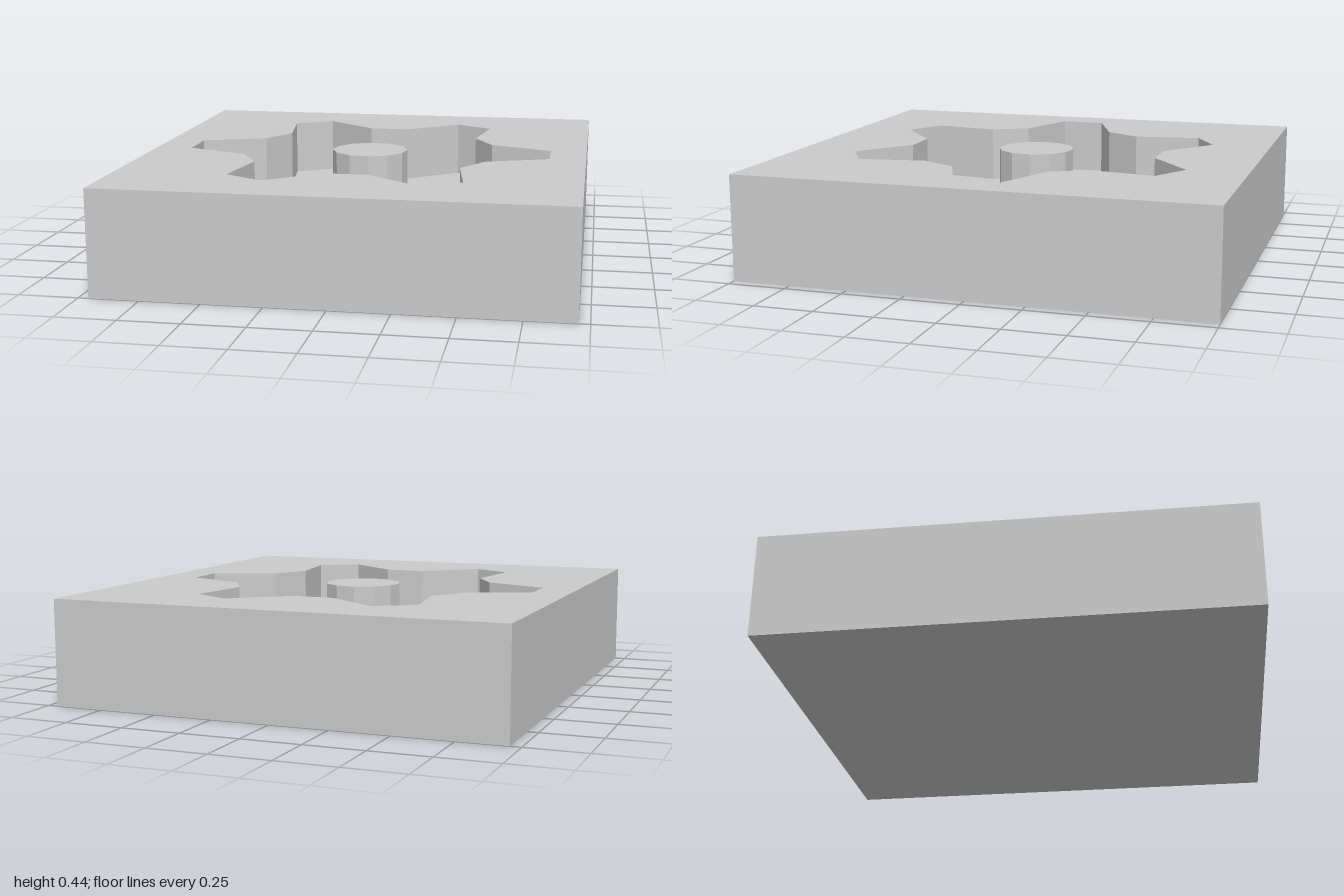
import * as THREE from 'three';

const material = new THREE.MeshStandardMaterial({ color: 0xcccccc, flatShading: true });
const TOP = 0.445, GEAR_FLOOR = 0.2, HUB_FLOOR = 0.05;

// Point [x, z] at a radius and an angle in degrees (from +x towards +z)
const polar = (r, deg) => {
  const a = THREE.MathUtils.degToRad(deg);
  return [r * Math.cos(a), r * Math.sin(a)];
};

const polygon = (r, sides, offset) =>
  Array.from({ length: sides }, (_, i) => polar(r, offset + (i * 360) / sides));

// Six-toothed outline: two root points and two tip points per tooth
function gearOutline() {
  const points = [];
  for (let i = 0; i < 6; i++) {
    for (const [r, deg] of [[0.567, -21], [0.806, -6.8], [0.806, 6.8], [0.567, 21]]) {
      points.push(polar(r, i * 60 + deg));
    }
  }
  return points;
}

function addMesh(parent, name, geometry) {
  const mesh = new THREE.Mesh(geometry, material);
  mesh.name = name;
  parent.add(mesh);
}

// Flat horizontal face with an optional hole
function addPlate(parent, name, outline, y, hole, faceDown = false) {
  const toVectors = (pts) => pts.map(([x, z]) => new THREE.Vector2(x, faceDown ? z : -z));
  const shape = new THREE.Shape(toVectors(outline));
  if (hole) shape.holes.push(new THREE.Path(toVectors(hole)));
  const geometry = new THREE.ShapeGeometry(shape);
  geometry.rotateX(faceDown ? Math.PI / 2 : -Math.PI / 2);
  geometry.translate(0, y, 0);
  addMesh(parent, name, geometry);
}

// Ring of quads between two outlines of equal point count
function addWall(parent, name, low, lowY, high, highY, inward = false) {
  const positions = [];
  low.forEach((_, i) => {
    const j = (i + 1) % low.length;
    const a = [low[i][0], lowY, low[i][1]];
    const b = [low[j][0], lowY, low[j][1]];
    const c = [high[j][0], highY, high[j][1]];
    const d = [high[i][0], highY, high[i][1]];
    const corners = inward ? [a, b, c, a, c, d] : [a, c, b, a, d, c];
    corners.forEach((p) => positions.push(...p));
  });
  const geometry = new THREE.BufferGeometry();
  geometry.setAttribute('position', new THREE.Float32BufferAttribute(positions, 3));
  geometry.computeVertexNormals();
  addMesh(parent, name, geometry);
}

export function createModel() {
  const model = new THREE.Group();
  model.name = 'gearMould';

  const block = [[0.957, -1], [0.957, 1], [-0.957, 1], [-0.957, -1]];
  const gear = gearOutline();
  const hubRim = polygon(0.402, 12, -17);
  const hubBase = polygon(0.345, 12, -17);
  const post = polygon(0.167, 12, -7);

  // Outer block
  addPlate(model, 'blockBottom', block, 0, null, true);
  addWall(model, 'blockSides', block, 0, block, TOP);
  addPlate(model, 'blockTop', block, TOP, gear);

  // Gear-shaped cavity
  addWall(model, 'gearCavityWall', gear, GEAR_FLOOR, gear, TOP, true);
  addPlate(model, 'gearCavityFloor', gear, GEAR_FLOOR, hubRim);

  // Tapered hub recess
  addWall(model, 'hubRecessWall', hubBase, HUB_FLOOR, hubRim, GEAR_FLOOR, true);
  addPlate(model, 'hubRecessFloor', hubBase, HUB_FLOOR, post);

  // Centre post, flush with the block top
  addWall(model, 'centrePostSide', post, HUB_FLOOR, post, TOP);
  addPlate(model, 'centrePostTop', post, TOP);

  return model;
}
